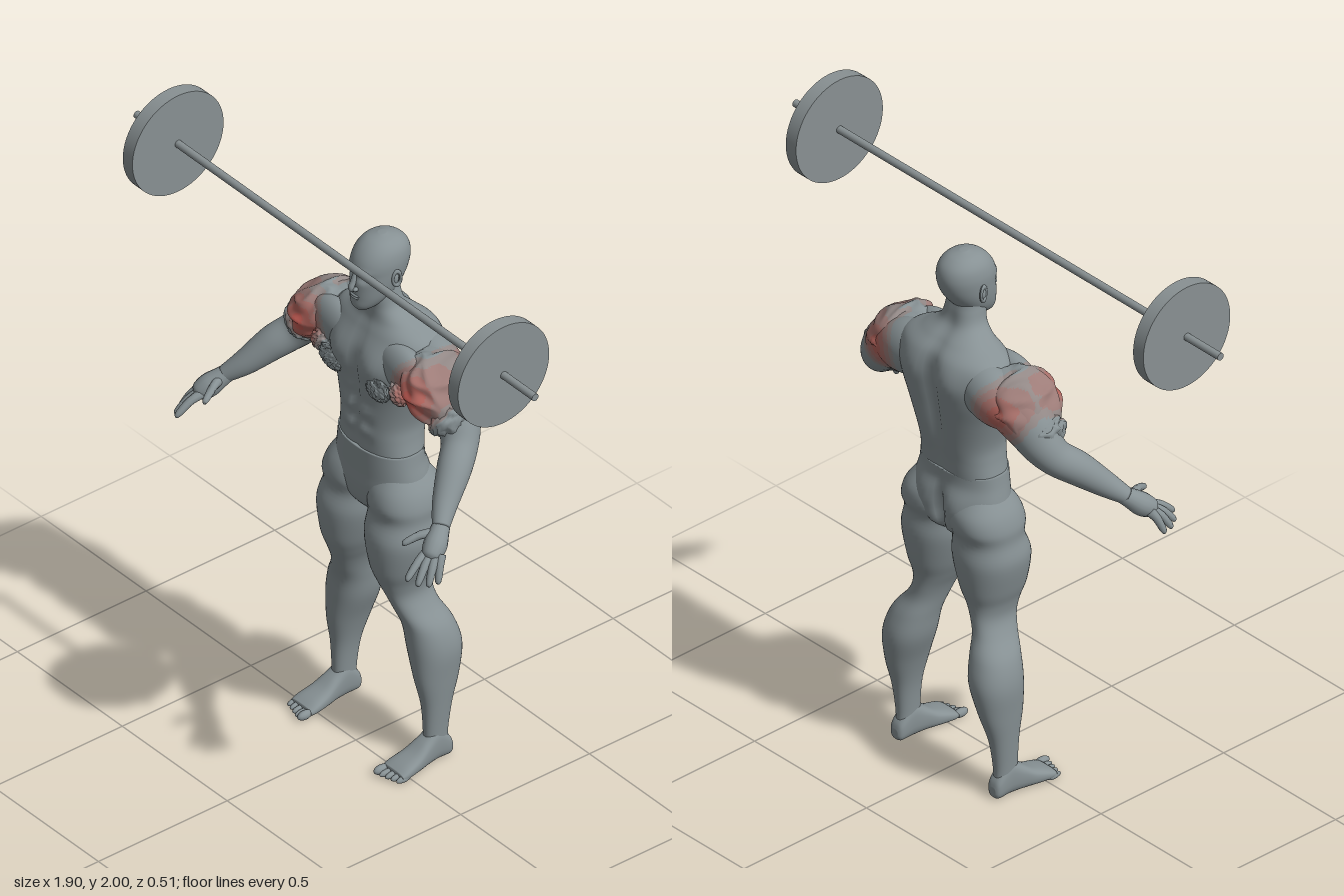
import * as THREE from 'three';
import { mergeVertices, mergeGeometries } from 'three/addons/utils/BufferGeometryUtils.js';

const V = (x, y, z) => new THREE.Vector3(x, y, z);
const bell = (d, w) => Math.exp(-(d * d) / (w * w));
const paint = (name, color) => Object.assign(new THREE.MeshStandardMaterial({ color }), { name });

// smooth interpolation of rows of numbers
function refine(rows, steps) {
  const out = [];
  const last = rows.length - 1;
  for (let k = 0; k <= last * steps; k++) {
    const i = Math.min(Math.floor(k / steps), last - 1), t = k / steps - i;
    const p = [rows[Math.max(i - 1, 0)], rows[i], rows[i + 1], rows[Math.min(i + 2, last)]];
    out.push(rows[0].map((_, c) => {
      const [a, b, d, e] = p.map((r) => r[c]);
      return b + 0.5 * t * (d - a + t * (2 * a - 5 * b + 4 * d - e + t * (3 * (b - d) + e - a)));
    }));
  }
  return out;
}

// turn faces outward, whichever way they were built
function outward(geo) {
  const p = geo.attributes.position, ix = geo.index.array;
  const a = V(), b = V(), c = V();
  let vol = 0;
  for (let i = 0; i < ix.length; i += 3) {
    [a, b, c].forEach((v, k) => v.fromBufferAttribute(p, ix[i + k]));
    vol += a.dot(b.cross(c));
  }
  if (vol < 0) for (let i = 0; i < ix.length; i += 3) [ix[i], ix[i + 1]] = [ix[i + 1], ix[i]];
  geo.computeVertexNormals();
  return geo;
}

// closed skin over rings of points
function skin(rings) {
  const n = rings[0].length, pts = rings.flat(), idx = [];
  for (let r = 0; r < rings.length - 1; r++) for (let i = 0; i < n; i++) {
    const a = r * n + i, b = r * n + (i + 1) % n;
    idx.push(a, a + n, b, b, a + n, b + n);
  }
  [[0, 1], [rings.length - 1, -1]].forEach(([r, dir]) => {
    const mid = rings[r].reduce((s, v) => s.add(v), V()).divideScalar(n);
    const m = pts.push(mid) - 1;
    for (let i = 0; i < n; i++) {
      const a = r * n + i, b = r * n + (i + 1) % n;
      idx.push(m, ...(dir > 0 ? [a, b] : [b, a]));
    }
  });
  const geo = new THREE.BufferGeometry().setFromPoints(pts);
  geo.setIndex(idx);
  return outward(geo);
}

// stack of rounded sections, rows: [height, x0, x1, z0, z1]
function stack(rows, shape = (p) => p, n = 40, power = 0.9, steps = 5) {
  return skin(refine(rows, steps).map(([y, x0, x1, z0, z1]) => Array.from({ length: n }, (_, i) => {
    const t = (i / n) * Math.PI * 2, c = Math.cos(t), s = Math.sin(t);
    const px = Math.sign(c) * Math.abs(c) ** power, pz = Math.sign(s) * Math.abs(s) ** power;
    return shape(V((x0 + x1) / 2 + px * (x1 - x0) / 2, y, (z0 + z1) / 2 + pz * (z1 - z0) / 2), s);
  })));
}

// round limb along a path, rows: [x, y, z, radius]
function limb(rows, n = 20, steps = 5) {
  const path = refine(rows, steps);
  return skin(path.map(([x, y, z, r], k) => {
    const a = path[Math.max(k - 1, 0)], b = path[Math.min(k + 1, path.length - 1)];
    const t = V(b[0] - a[0], b[1] - a[1], b[2] - a[2]).normalize();
    const u = V(0.3, 0.2, -1).cross(t).normalize(), w = t.clone().cross(u);
    return Array.from({ length: n }, (_, i) => {
      const q = (i / n) * Math.PI * 2;
      return V(x, y, z).addScaledVector(u, r * Math.cos(q)).addScaledVector(w, r * Math.sin(q));
    });
  }));
}

// ellipsoid with optional wrinkles
function blob(pos, size, wrinkle = 0, freq = 5, turn = 0, seg = 20) {
  let geo = new THREE.SphereGeometry(1, seg * 2, seg);
  geo.deleteAttribute('uv');
  geo.deleteAttribute('normal');
  geo = mergeVertices(geo);
  const p = geo.attributes.position, v = V();
  for (let i = 0; i < p.count; i++) {
    v.fromBufferAttribute(p, i);
    const f = Math.sin(v.x * freq + 2 * Math.sin(v.y * freq)) * Math.cos(v.z * freq + Math.sin(v.x * freq * 1.4));
    v.multiplyScalar(1 - wrinkle * Math.abs(f) + wrinkle * 0.4);
    p.setXYZ(i, v.x, v.y, v.z);
  }
  geo.scale(...size).rotateZ(turn).translate(...pos);
  return outward(geo);
}

// split faces into colour groups by distance from the shoulder, counting depth less
function fade(geo) {
  const centre = V(0.265, 1.405, -0.08), limits = [0.045, 0.064, 0.081, 0.097, 0.112];
  const p = geo.attributes.position, ix = geo.index.array, v = V(), sets = [...limits, 0].map(() => []);
  for (let i = 0; i < ix.length; i += 3) {
    const m = V();
    for (let k = 0; k < 3; k++) m.add(v.fromBufferAttribute(p, ix[i + k]));
    const d = m.divideScalar(3).sub(centre).multiply(V(1, 1, 0.4)).length(), s = limits.findIndex((l) => d < l);
    sets[s < 0 ? limits.length : s].push(ix[i], ix[i + 1], ix[i + 2]);
  }
  geo.setIndex(sets.flat());
  let start = 0;
  sets.forEach((s, k) => { geo.addGroup(start, s.length, k); start += s.length; });
  return geo;
}

export function createModel() {
  const model = new THREE.Group();
  const skinGrey = paint('body grey', 0x879194), metal = paint('metal grey', 0x899193);
  const reds = [paint('muscle red', 0xc05a52), paint('warm red', 0xb4645c), paint('soft red', 0xa9706a),
    paint('dusty red', 0x9d7c78), paint('faded red', 0x928886), skinGrey];
  const add = (name, geo, mat = skinGrey) => {
    const mesh = new THREE.Mesh(geo, mat);
    mesh.name = name;
    model.add(mesh);
  };
  const pair = (name, geo, mat) => {
    add('left' + name, geo, mat);
    add('right' + name, outward(geo.clone().scale(-1, 1, 1)), mat);
  };
  const even = (rows) => rows.map(([y, w, f, b]) => [y, -w, w, b, f]);

  // torso with chest, abdominal and spine relief
  add('torso', stack(even([[1.08, 0.153, -0.004, -0.198], [1.14, 0.143, 0, -0.208], [1.2, 0.144, 0.002, -0.222],
    [1.3, 0.172, 0.003, -0.24], [1.38, 0.2, 0.008, -0.252], [1.45, 0.212, 0, -0.255], [1.51, 0.19, -0.025, -0.24],
    [1.55, 0.125, -0.042, -0.205], [1.59, 0.076, -0.044, -0.165], [1.64, 0.062, -0.038, -0.15], [1.68, 0.058, -0.05, -0.14]]),
  (p, s) => {
    const ax = Math.abs(p.x);
    if (s > 0) {
      p.z += s * (0.02 * bell(ax - 0.085, 0.06) * bell(p.y - 1.41, 0.06) - 0.012 * bell(ax, 0.014) * bell(p.y - 1.3, 0.2));
      p.z += s * 0.006 * bell(ax - 0.035, 0.028) * Math.cos((p.y - 1.16) * 84) * bell(p.y - 1.2, 0.09);
    } else {
      p.z -= s * (0.028 * bell(ax, 0.03) * bell(p.y - 1.35, 0.2));
      p.z += s * 0.012 * bell(ax - 0.09, 0.05) * bell(p.y - 1.45, 0.07);
    }
    return p;
  }, 72, 0.85, 7));

  // shoulder blades and outer chest carry the torso into the arms
  pair('ShoulderBlade', fade(blob([0.18, 1.425, -0.158], [0.14, 0.09, 0.077], 0, 1, -0.3, 36)), reds);
  pair('OuterChest', fade(blob([0.155, 1.435, -0.055], [0.12, 0.08, 0.05], 0, 1, 0, 36)), reds);

  // pelvis with cleft at the back
  add('pelvis', stack(even([[0.83, 0.03, -0.06, -0.13], [0.88, 0.12, -0.01, -0.2], [0.94, 0.18, 0.002, -0.212],
    [1, 0.172, 0.002, -0.212], [1.05, 0.162, 0.002, -0.2], [1.092, 0.156, 0.002, -0.2]]),
  (p, s) => {
    if (s < 0) p.z -= s * (0.035 * bell(p.x, 0.02) * bell(p.y - 0.94, 0.08)) - s * 0.012 * bell(Math.abs(p.x) - 0.08, 0.05) * bell(p.y - 0.97, 0.06);
    return p;
  }, 64));

  // head with brow and eye sockets
  add('head', stack(even([[1.592, 0.022, -0.004, -0.05], [1.61, 0.042, 0.008, -0.09], [1.64, 0.06, 0.008, -0.13],
    [1.68, 0.071, 0.006, -0.165], [1.72, 0.076, 0.004, -0.186], [1.76, 0.077, 0, -0.193], [1.795, 0.068, -0.02, -0.183],
    [1.82, 0.046, -0.05, -0.155], [1.833, 0.012, -0.09, -0.115]]),
  (p, s) => {
    if (s > 0.2) {
      p.z -= 0.013 * bell(Math.abs(p.x) - 0.03, 0.017) * bell(p.y - 1.712, 0.012);
      p.z += 0.006 * bell(Math.abs(p.x) - 0.025, 0.03) * bell(p.y - 1.737, 0.011);
    }
    return p;
  }, 56, 0.95, 8));
  add('nose', mergeGeometries([limb([[0, 1.735, 0, 0.006], [0, 1.7, 0.01, 0.009], [0, 1.68, 0.018, 0.01], [0, 1.67, 0.012, 0.009]], 12),
    blob([0.011, 1.675, 0.01], [0.008, 0.007, 0.01], 0, 1, 0, 6), blob([-0.011, 1.675, 0.01], [0.008, 0.007, 0.01], 0, 1, 0, 6)]));
  add('lips', mergeGeometries([blob([0, 1.648, 0.005], [0.022, 0.005, 0.007], 0, 1, 0, 8), blob([0, 1.64, 0.005], [0.019, 0.005, 0.007], 0, 1, 0, 8)]));
  pair('Eye', blob([0.03, 1.711, -0.02], [0.013, 0.006, 0.01], 0, 1, 0, 8));
  const ear = new THREE.TorusGeometry(0.018, 0.006, 8, 20).scale(0.75, 1.35, 1).rotateY(Math.PI / 2 - 0.3).translate(0.079, 1.707, -0.095);
  pair('Ear', mergeGeometries([ear.deleteAttribute('uv'), blob([0.074, 1.704, -0.093], [0.008, 0.02, 0.012], 0, 1, 0, 8)]));

  // legs
  pair('Leg', stack([[0.03, 0.192, 0.243, -0.175, -0.09], [0.1, 0.19, 0.245, -0.175, -0.09], [0.2, 0.18, 0.252, -0.19, -0.085],
    [0.3, 0.155, 0.26, -0.22, -0.067], [0.4, 0.12, 0.265, -0.235, -0.06], [0.48, 0.106, 0.245, -0.216, -0.055],
    [0.54, 0.094, 0.203, -0.188, -0.037], [0.59, 0.078, 0.181, -0.18, -0.02], [0.64, 0.055, 0.185, -0.183, 0],
    [0.7, 0.03, 0.204, -0.2, 0.02], [0.8, 0.002, 0.225, -0.213, 0.026], [0.87, 0, 0.214, -0.205, 0.005],
    [0.92, 0, 0.213, -0.222, 0.012], [0.97, 0.004, 0.196, -0.216, 0], [1.02, 0.02, 0.16, -0.18, -0.03]]));

  // feet run along z: stacked upright, then laid forward
  const foot = stack([[-0.187, 0.205, 0.232, 0.015, 0.04], [-0.175, 0.192, 0.244, 0, 0.07], [-0.13, 0.186, 0.248, 0, 0.115],
    [-0.085, 0.182, 0.255, 0, 0.09], [-0.04, 0.174, 0.264, 0, 0.06], [0.01, 0.168, 0.27, 0, 0.04], [0.035, 0.17, 0.268, 0.002, 0.028]],
  (p) => V(p.x, Math.max(p.z, 0), p.y), 28, 0.75);
  pair('Foot', foot);
  for (let i = 0; i < 5; i++) {
    const x = 0.182 + i * 0.0195, r = i ? 0.011 : 0.015;
    pair('Toe' + (i + 1), blob([x, r, 0.05 - i * 0.006], [r * 0.95, r, 0.028], 0, 1, 0, 8));
  }

  // arms
  pair('Arm', fade(limb([[0.15, 1.43, -0.13, 0.075], [0.24, 1.41, -0.12, 0.095], [0.31, 1.36, -0.115, 0.085], [0.355, 1.31, -0.11, 0.068],
    [0.39, 1.265, -0.085, 0.057], [0.43, 1.22, -0.03, 0.053], [0.475, 1.155, 0.04, 0.04], [0.515, 1.11, 0.09, 0.027]], 40, 8)), reds);
  pair('ElbowFold', fade(blob([0.342, 1.335, -0.1], [0.055, 0.072, 0.082], 0.22, 5, -0.75)), reds);

  // shoulder muscles, red fading to grey
  pair('ShoulderMuscle', fade(blob([0.272, 1.41, -0.1], [0.085, 0.118, 0.117], 0.13, 3.2, 0.7, 48)), reds);

  // crumpled folds on the chest
  pair('ChestFold', blob([0.112, 1.357, 0.006], [0.05, 0.036, 0.016], 0.4, 7, 0.2, 24));
  pair('ArmpitFold', fade(blob([0.185, 1.375, -0.02], [0.035, 0.04, 0.03], 0.35, 6, 0.4)), reds);

  // hands
  pair('Palm', limb([[0.505, 1.12, 0.075, 0.026], [0.52, 1.1, 0.1, 0.031], [0.538, 1.075, 0.13, 0.037], [0.552, 1.055, 0.158, 0.03], [0.557, 1.048, 0.168, 0.016]], 16));
  const fingers = [[[0.572, 1.06, 0.135], [0.6, 0.982, 0.17]], [[0.565, 1.055, 0.15], [0.595, 0.984, 0.203]],
    [[0.55, 1.055, 0.16], [0.578, 0.99, 0.232]], [[0.535, 1.06, 0.16], [0.55, 1.003, 0.252]], [[0.515, 1.1, 0.105], [0.472, 1.075, 0.205]]];
  fingers.forEach(([a, b], i) => {
    const at = (t, lift, r) => [...a.map((v, k) => v + (b[k] - v) * t + (k === 1 ? lift : 0)), r];
    pair(i < 4 ? 'Finger' + (i + 1) : 'Thumb', limb([at(0, 0, 0.016), at(0.45, 0.01, 0.0135), at(0.85, 0.004, 0.011), at(0.97, 0, 0.007), at(1, 0, 0.003)], 10, 3));
  });

  // barbell
  const rod = (r, len, x, sides) => new THREE.CylinderGeometry(r, r, len, sides).rotateZ(Math.PI / 2).translate(x, 1.823, 0.077);
  add('bar', rod(0.0125, 1.9, 0, 20), metal);
  pair('WeightPlate', rod(0.177, 0.046, 0.776, 64), metal);
  return model;
}
